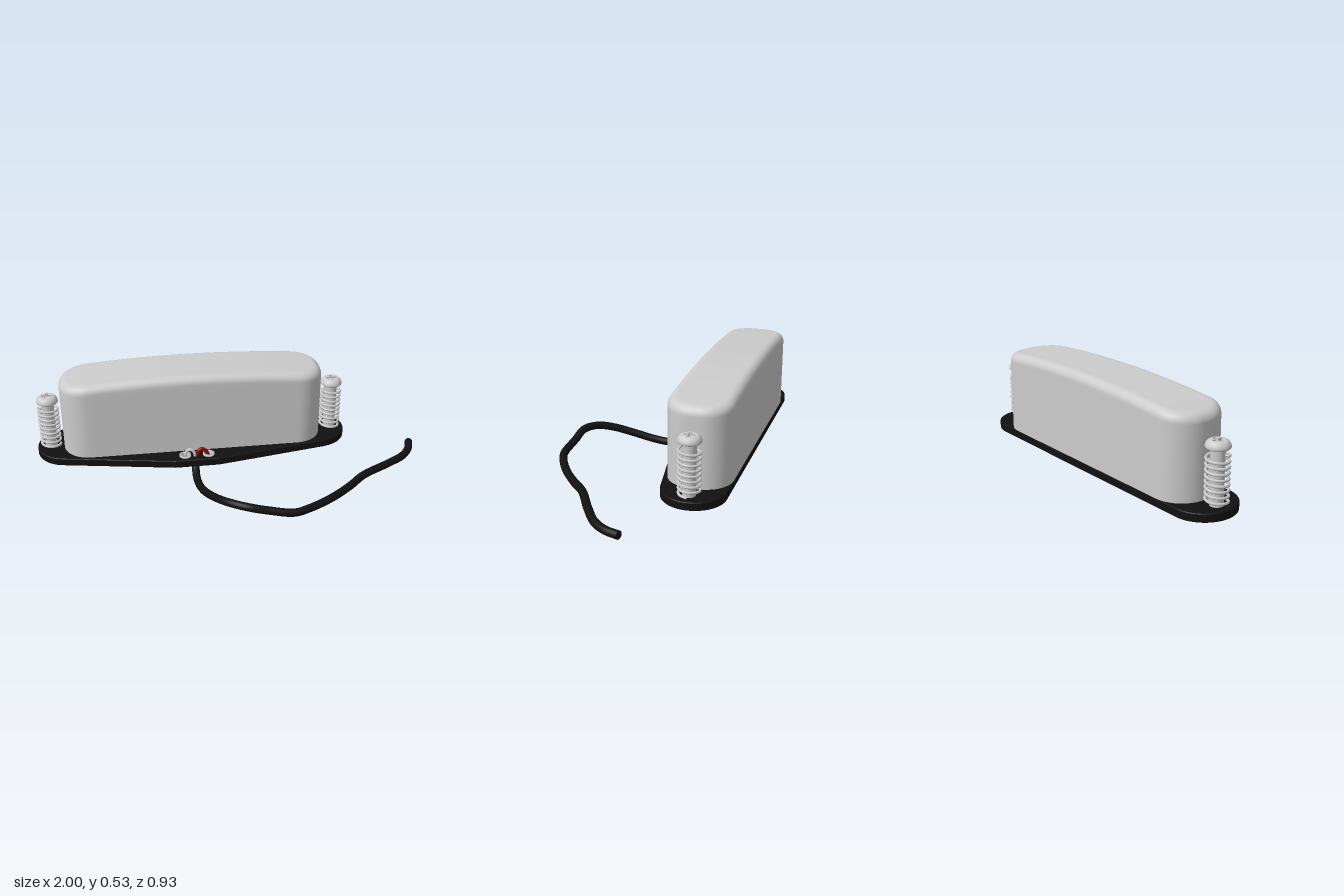
import * as THREE from 'three';

const V = (x, y, z) => new THREE.Vector3(x, y, z);
const paint = (color) => new THREE.MeshStandardMaterial({ color, side: THREE.DoubleSide });
const grey = paint(0xcccccc), black = paint(0x111111), white = paint(0xeeeeee), red = paint(0x880808);
const MID_Z = -0.31, EYELET_Z = -0.097, EYELET_X = [-0.235, -0.112], SCREW_X = [-0.928, 0.579];

function add(parent, name, geometry, material, x = 0, y = 0, z = 0) {
  const mesh = new THREE.Mesh(geometry, material);
  mesh.name = name;
  mesh.position.set(x, y, z);
  parent.add(mesh);
  return mesh;
}

function lathe(points, segments = 32) {
  return new THREE.LatheGeometry(points.map(([r, y]) => new THREE.Vector2(r, y)), segments);
}

// Extrudes a shape drawn in (x, -z) upwards from y = 0
function slab(shape, depth, options = {}) {
  const g = new THREE.ExtrudeGeometry(shape, { depth, bevelEnabled: false, curveSegments: 24, ...options });
  return g.rotateX(-Math.PI / 2);
}

// Rounded base plate with a tapering front tab and two eyelet holes
function plateGeometry() {
  const s = new THREE.Shape(), r = 0.156, yc = -MID_Z, bevel = 0.006;
  s.moveTo(-0.29, 0.05);
  s.lineTo(-0.06, 0.05);
  s.lineTo(0.52, yc - r);
  s.absarc(0.499, yc, r, -Math.PI / 2 + 0.14, Math.PI / 2, false);
  s.absarc(-0.844, yc, r, Math.PI / 2, Math.PI * 1.5 - 0.14, false);
  s.closePath();
  for (const x of EYELET_X) s.holes.push(new THREE.Path().absarc(x, -EYELET_Z, 0.021, 0, Math.PI * 2, true));
  return slab(s, 0.042 - 2 * bevel, {
    bevelEnabled: true, bevelThickness: bevel, bevelSize: bevel, bevelOffset: -bevel, bevelSegments: 3,
  }).translate(0, bevel, 0);
}

// Cover: rounded-rectangle loops, filleted into a top that arches along x
function coverGeometry() {
  const halfX = 0.686, halfZ = 0.159, corner = 0.14, fillet = 0.042;
  const cx = halfX - corner, cz = halfZ - corner;
  const outline = (inset) => {
    const pts = [], r = corner - inset;
    [[1, 1], [-1, 1], [-1, -1], [1, -1]].forEach(([sx, sz], q) => {
      for (let i = 0; i <= 12; i++) {
        const a = (q + i / 12) * Math.PI / 2;
        pts.push([sx * cx + r * Math.cos(a), sz * cz + r * Math.sin(a)]);
      }
      // Subdivide the long sides so they follow the arch
      if (q % 2 === 0) for (let i = 1; i < 24; i++) pts.push([sx * cx * (1 - i / 12), sz * (cz + r)]);
    });
    return pts;
  };
  const arch = (x) => 0.535 - 0.036 * (x / halfX) ** 2;
  const loops = [
    outline(0).map(([x, z]) => [x, 0.109, z]),
    outline(0).map(([x, z]) => [x, arch(x) - fillet - 0.02, z]),
  ];
  for (let i = 0; i <= 8; i++) {
    const a = i / 8 * Math.PI / 2;
    loops.push(outline(fillet * (1 - Math.cos(a))).map(([x, z]) => [x, arch(x) - fillet * (1 - Math.sin(a)), z]));
  }
  for (const s of [0.9, 0.45, 0]) loops.push(outline(fillet).map(([x, z]) => [x, arch(x), z * s]));

  const n = loops[0].length, index = [];
  for (let i = 0; i < loops.length - 1; i++) {
    for (let j = 0; j < n; j++) {
      const a = i * n + j, b = i * n + (j + 1) % n;
      index.push(a, a + n, b, b, a + n, b + n);
    }
  }
  const g = new THREE.BufferGeometry();
  g.setAttribute('position', new THREE.Float32BufferAttribute(loops.flat(2), 3));
  g.setIndex(index);
  g.computeVertexNormals();
  return g;
}

// Pan-head screw with a cross recess, inside a coil spring
function mountingScrew(name) {
  const group = new THREE.Group();
  group.name = name;
  add(group, 'screwShaft', new THREE.CylinderGeometry(0.032, 0.032, 0.29, 28), grey, 0, 0.225, 0);
  add(group, 'screwHead', lathe([[0.03, 0.366], [0.052, 0.366], [0.056, 0.37], [0.056, 0.377],
    [0.053, 0.387], [0.047, 0.395], [0.04, 0.4], [0.034, 0.402]]), grey);

  const top = new THREE.Shape().absarc(0, 0, 0.034, 0, Math.PI * 2, false);
  const L = 0.027, w = 0.008, cross = [];
  for (let q = 0; q < 4; q++) {
    for (const [x, y] of [[w, w], [L, w], [L, -w]]) {
      cross.push(new THREE.Vector2(x, y).rotateAround(new THREE.Vector2(), -q * Math.PI / 2));
    }
  }
  top.holes.push(new THREE.Path(cross));
  add(group, 'crossRecess', slab(top, 0.018), grey, 0, 0.384, 0);
  add(group, 'recessFloor', new THREE.CircleGeometry(0.034, 24).rotateX(-Math.PI / 2), grey, 0, 0.385, 0);

  const coil = [], turns = 8.5;
  for (let i = 0; i <= turns * 16; i++) {
    const a = i / 16 * Math.PI * 2;
    coil.push(V(0.05 * Math.cos(a), 0.117 + 0.22 * i / (turns * 16), 0.05 * Math.sin(a)));
  }
  add(group, 'spring', new THREE.TubeGeometry(new THREE.CatmullRomCurve3(coil), 272, 0.0065, 8), grey);
  return group;
}

// Round cord along a few points, with closed ends
function cord(parent, name, points, radius, segments, material) {
  const curve = new THREE.CatmullRomCurve3(points.map((p) => V(...p)));
  add(parent, name, new THREE.TubeGeometry(curve, segments, radius, 16), material);
  for (const t of [0, 1]) {
    const cap = add(parent, name + 'End', new THREE.CircleGeometry(radius, 16), material);
    cap.position.copy(curve.getPointAt(t));
    cap.quaternion.setFromUnitVectors(V(0, 0, 1), curve.getTangentAt(t).multiplyScalar(t ? 1 : -1));
  }
}

export function createModel() {
  const model = new THREE.Group();
  model.name = 'pickup';

  add(model, 'basePlate', plateGeometry(), black, 0, 0.067, 0);
  add(model, 'cover', coverGeometry(), grey, -0.174, 0, -0.307);

  SCREW_X.forEach((x, i) => {
    const screw = mountingScrew(i ? 'leftScrew' : 'rightScrew');
    screw.position.set(x, 0, MID_Z);
    model.add(screw);
  });

  // Hollow eyelets through the front tab
  for (const x of EYELET_X) {
    add(model, 'eyelet', lathe([[0.015, 0.064], [0.022, 0.064], [0.022, 0.108], [0.031, 0.109],
      [0.031, 0.117], [0.015, 0.117], [0.015, 0.064]]), white, x, 0, EYELET_Z);
  }

  // Lead wires loop from the cable entry to the eyelets
  cord(model, 'lightWire', [[-0.236, 0.09, -0.097], [-0.234, 0.125, -0.096], [-0.212, 0.146, -0.095],
    [-0.19, 0.133, -0.093], [-0.183, 0.1, -0.092]], 0.008, 32, white);
  cord(model, 'redWire', [[-0.114, 0.09, -0.097], [-0.122, 0.124, -0.096], [-0.148, 0.146, -0.095],
    [-0.167, 0.133, -0.093], [-0.172, 0.1, -0.092]], 0.01, 32, red);

  // Output cable dips under the tab, then curves forward and round to the left
  cord(model, 'cable', [[-0.183, 0.08, -0.105], [-0.184, 0.045, -0.07], [-0.185, 0.026, -0.02],
    [-0.181, 0.021, 0.03], [-0.17, 0.034, 0.11], [-0.145, 0.065, 0.21], [-0.105, 0.1, 0.31],
    [-0.055, 0.12, 0.38], [0.02, 0.122, 0.427], [0.12, 0.1, 0.437], [0.24, 0.081, 0.443],
    [0.32, 0.082, 0.418], [0.45, 0.083, 0.345], [0.56, 0.085, 0.26], [0.65, 0.089, 0.18],
    [0.8, 0.087, 0.09], [0.9, 0.082, 0.02], [0.955, 0.081, -0.05], [0.98, 0.081, -0.122]], 0.02, 160, black);

  return model;
}
